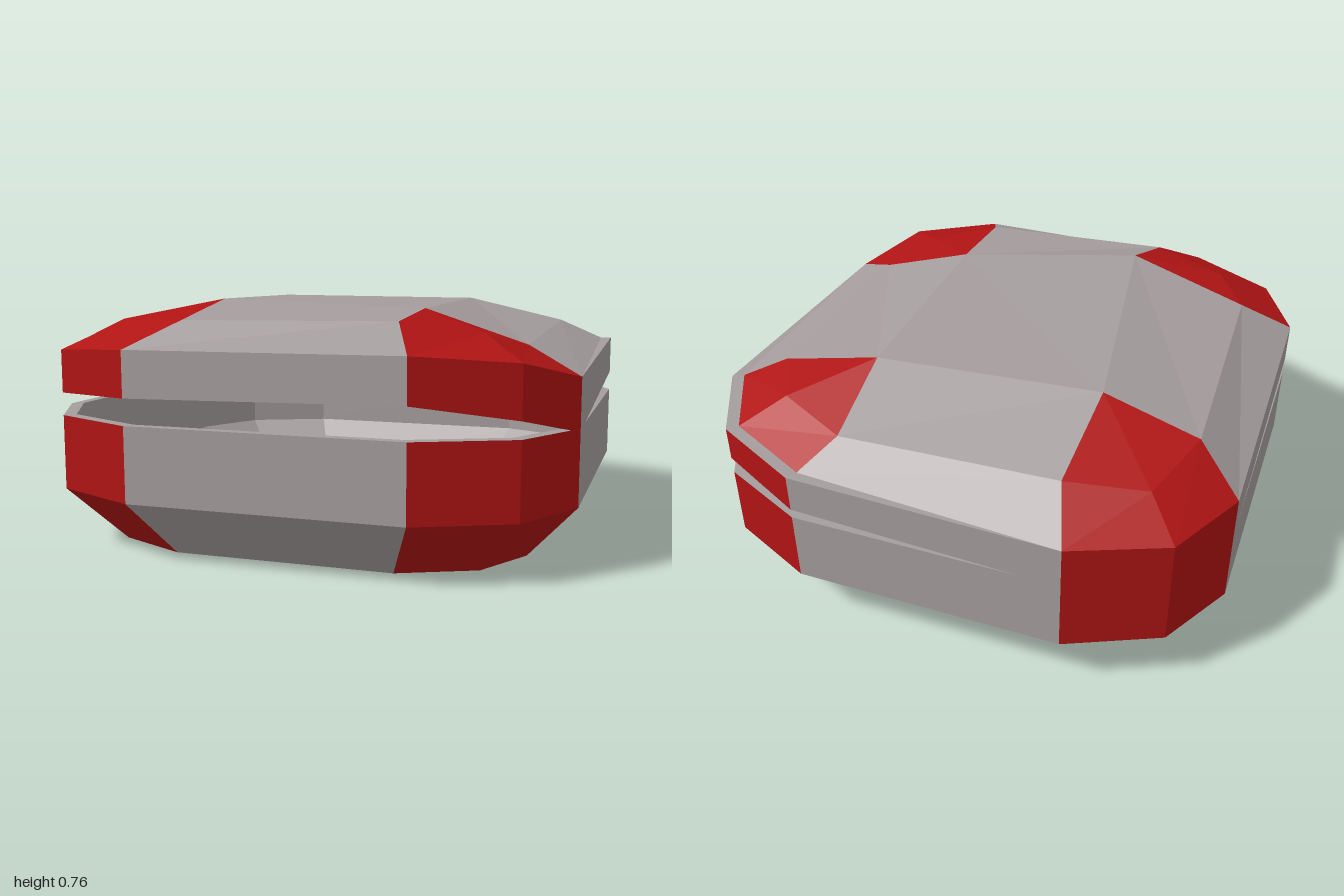
import * as THREE from 'three';

const grey = new THREE.MeshStandardMaterial({ color: 0xa59d9d, flatShading: true });
const red = new THREE.MeshStandardMaterial({ color: 0xb01414, flatShading: true });

// Half of the twelve-sided outline (x, z): three points per corner, right then front
const half = [[0.86, -0.37], [0.995, -0.09], [0.94, 0.17], [0.34, 0.89], [0.09, 0.99], [-0.21, 0.91]];
const outline = [...half, ...half.map(([x, z]) => [-x, -z])];

// A ring of twelve points; the height is one number or one per point
const ring = (pts, y, s = 1) => pts.map(([x, z], i) =>
  new THREE.Vector3(x * s, Array.isArray(y) ? y[i] : y, z * s));
const shrink = (r, s, dy) => r.map(p => new THREE.Vector3(p.x * s, p.y + dy, p.z * s));
const collapse = r => {
  const c = r.reduce((sum, p) => sum.add(p), new THREE.Vector3()).divideScalar(r.length);
  return r.map(() => c);
};

// Skins consecutive rings; bands listed in redBands get red corner panels
function shell(name, rings, redBands) {
  const parts = { panels: [], corners: [] };
  const tri = (list, a, b, c) => {
    const area = new THREE.Triangle(a, b, c).getArea();
    if (area > 1e-6) for (const p of [a, b, c]) list.push(p.x, p.y, p.z);
  };
  for (let k = 0; k < rings.length - 1; k++) {
    const A = rings[k], B = rings[k + 1];
    for (let i = 0; i < 12; i++) {
      const j = (i + 1) % 12;
      const list = redBands.includes(k) && i % 3 !== 2 ? parts.corners : parts.panels;
      tri(list, A[j], A[i], B[i]);
      tri(list, A[j], B[i], B[j]);
    }
  }
  const group = new THREE.Group();
  group.name = name;
  for (const [part, material] of [['panels', grey], ['corners', red]]) {
    const geo = new THREE.BufferGeometry();
    geo.setAttribute('position', new THREE.Float32BufferAttribute(parts[part], 3));
    geo.computeVertexNormals();
    const mesh = new THREE.Mesh(geo, material);
    mesh.name = name + (part === 'panels' ? 'Panels' : 'Corners');
    group.add(mesh);
  }
  return group;
}

// Hollow tray with a chamfered bottom
function makeBase() {
  const foot = ring(outline, 0, 0.81);
  const floor = ring(outline, 0.02, 0.77);
  return shell('base', [
    collapse(foot), foot, ring(outline, 0.18), ring(outline, 0.41),
    ring(outline, 0.41, 0.96), ring(outline, 0.19, 0.96), floor, collapse(floor),
  ], [1, 2]);
}

// Warped, slightly open lid with a faceted crown
function makeLid() {
  const lower = ring(outline, [0.44, 0.465, 0.475, 0.40, 0.46, 0.505, 0.49, 0.48, 0.47, 0.405, 0.40, 0.405]);
  const rim = ring(outline, [0.56, 0.577, 0.60, 0.558, 0.615, 0.637, 0.63, 0.612, 0.60, 0.545, 0.53, 0.54]);
  // the crown sits a little inside the rim at the right-hand corner
  const crown = rim.map((p, i) => i < 3 ? new THREE.Vector3(p.x * 0.96, p.y, p.z * 0.96) : p);
  const shoulder = ring(
    [[0.69, -0.32], [0.8, -0.095], [0.765, 0.11], [0.28, 0.7], [0.09, 0.78], [-0.15, 0.72],
      [-0.68, 0.355], [-0.8, 0.1], [-0.77, -0.11], [-0.29, -0.73], [-0.08, -0.85], [0.15, -0.75]],
    [0.635, 0.66, 0.665, 0.635, 0.68, 0.715, 0.71, 0.70, 0.69, 0.665, 0.62, 0.645]);
  // each corner of the top plate meets three shoulder points
  const plate = [[0.51, 0.74, -0.1], [0.04, 0.738, 0.49], [-0.515, 0.765, 0.225], [-0.07, 0.745, -0.52]]
    .flatMap(c => { const v = new THREE.Vector3(...c); return [v, v, v]; });
  const inside = [plate, shoulder, crown].map(r => shrink(r, 0.96, -0.03));
  return shell('lid', [
    collapse(inside[0]), ...inside, shrink(lower, 0.96, 0),
    lower, rim, crown, shoulder, plate, collapse(plate),
  ], [5, 7, 8]);
}

export function createModel() {
  const model = new THREE.Group();
  model.name = 'container';
  model.add(makeBase(), makeLid());
  return model;
}
